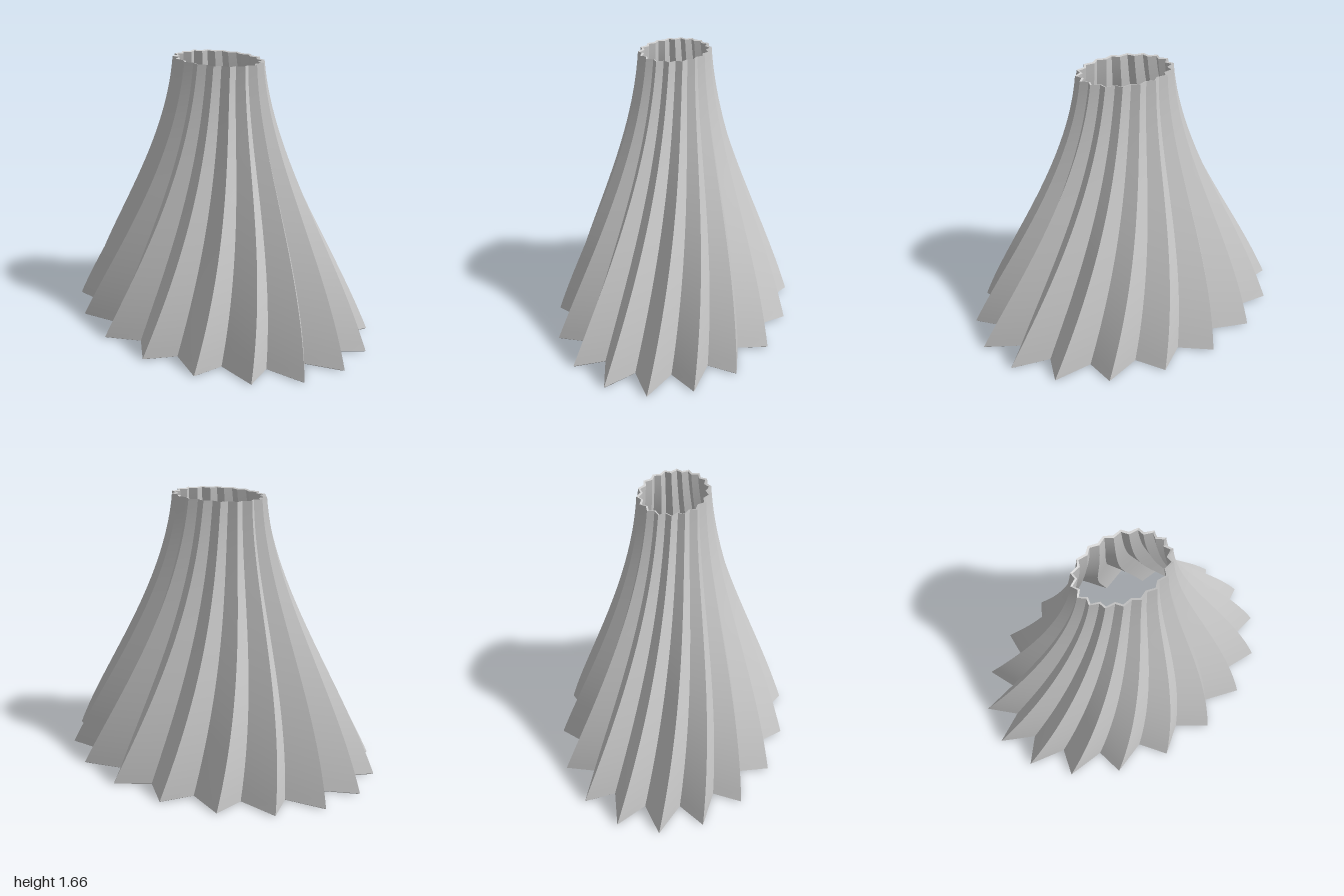
import * as THREE from 'three';
import { toCreasedNormals } from 'three/addons/utils/BufferGeometryUtils.js';

const HEIGHT = 1.665;
const PLEATS = 18;
const ROWS = 32;
const WALL = 0.013;     // wall thickness
const DEPTH = 0.713;    // z radius relative to x radius
const TWIST = 0.4;      // total turn of each pleat from hem to top
const START = THREE.MathUtils.degToRad(-7);

// Ridge radius along x at height fraction s: wide hem, narrow waist, concave flare
function radius(s) {
  const g = (1 - s) * (1 - s * (0.05 + 0.72 * s));
  return 0.287 + 0.72 * g;
}

// One corner of the pleated cross-section; even columns are ridges, odd are valleys
function corner(column, s, inner) {
  const t = START + (column * Math.PI) / PLEATS - TWIST * s;
  const pleat = column % 2 ? THREE.MathUtils.lerp(0.815, 0.9, s) : 1;
  const r = radius(s) * pleat;
  const inset = inner ? WALL : 0;
  const y = inner ? s * (HEIGHT - 0.004) : 0.008 + s * (HEIGHT - 0.008);
  return [(r - inset) * Math.cos(t), y, (r * DEPTH - inset) * Math.sin(t)];
}

// Closed shell: rows run up the outside, over the top rim and down the inside
function pleatedShell() {
  const rows = [];
  for (let j = 0; j <= ROWS; j++) rows.push([j / ROWS, false]);
  for (let j = ROWS; j >= 0; j--) rows.push([j / ROWS, true]);

  const columns = PLEATS * 2;
  const positions = [];
  const index = [];
  rows.forEach(([s, inner], j) => {
    const next = (j + 1) % rows.length;
    for (let i = 0; i < columns; i++) {
      positions.push(...corner(i, s, inner));
      const k = (i + 1) % columns;
      const a = j * columns + i, b = j * columns + k;
      const c = next * columns + i, d = next * columns + k;
      index.push(a, c, b, b, c, d);
    }
  });

  const geometry = new THREE.BufferGeometry();
  geometry.setAttribute('position', new THREE.Float32BufferAttribute(positions, 3));
  geometry.setIndex(index);
  return toCreasedNormals(geometry, 0.4);
}

export function createModel() {
  const group = new THREE.Group();
  group.name = 'pleatedSkirt';
  const material = new THREE.MeshStandardMaterial({ color: 0xcccccc, side: THREE.DoubleSide });
  const shell = new THREE.Mesh(pleatedShell(), material);
  shell.name = 'pleatedShell';
  group.add(shell);
  return group;
}
